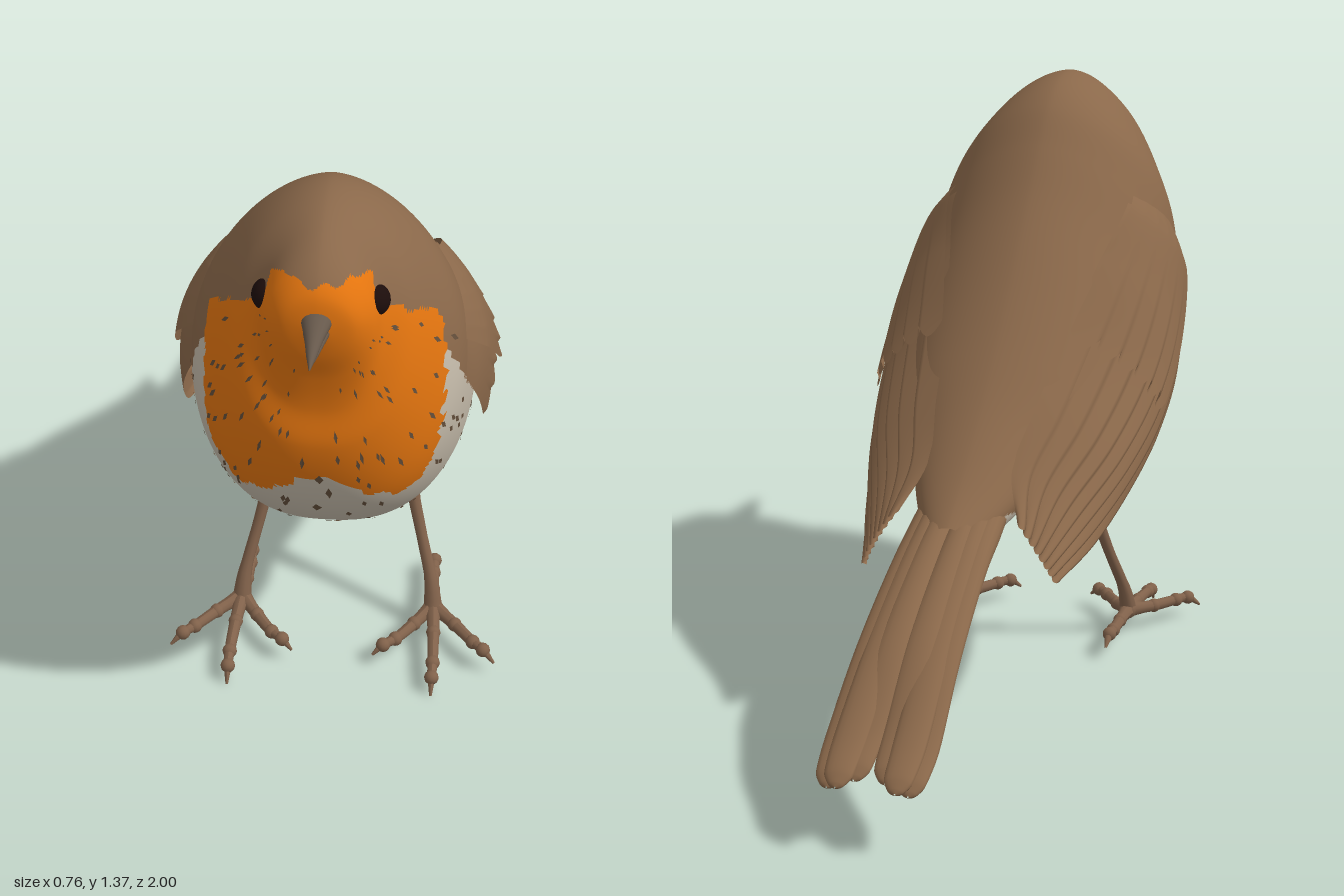
import * as THREE from 'three';
import { mergeGeometries } from 'three/addons/utils/BufferGeometryUtils.js';

const mat = (name, color, side = THREE.FrontSide) => {
  const m = new THREE.MeshStandardMaterial({ color, side });
  m.name = name;
  return m;
};
const V = (x, y, z) => new THREE.Vector3(x, y, z);
const spline = (pts) => new THREE.CatmullRomCurve3(pts.map((p) => V(...p)));

// Piecewise linear lookup in a list of [key, value] pairs with rising keys
function lookup(table, k) {
  if (k <= table[0][0]) return table[0][1];
  for (let i = 1; i < table.length; i++) {
    const [a, p] = table[i - 1], [b, q] = table[i];
    if (k <= b) return p + (q - p) * (k - a) / (b - a);
  }
  return table[table.length - 1][1];
}

// Surface over f(u, v); wrap joins v = 1 to v = 0; region sorts faces into material groups
function surface(f, nu, nv, wrap, region) {
  const pos = [], cols = wrap ? nv : nv + 1, lists = [[], [], []];
  for (let i = 0; i <= nu; i++)
    for (let j = 0; j < cols; j++) pos.push(...f(i / nu, j / nv).toArray());
  for (let i = 0; i < nu; i++)
    for (let j = 0; j < nv; j++) {
      const k = (j + 1) % cols;
      const a = i * cols + j, b = i * cols + k, c = a + cols, d = b + cols;
      for (const t of [[a, b, c], [b, d, c]]) {
        const mid = (n) => (pos[t[0] * 3 + n] + pos[t[1] * 3 + n] + pos[t[2] * 3 + n]) / 3;
        lists[region ? region(mid(0), mid(1), mid(2)) : 0].push(...t);
      }
    }
  const g = new THREE.BufferGeometry();
  g.setAttribute('position', new THREE.Float32BufferAttribute(pos, 3));
  g.setIndex(lists.flat());
  if (region) {
    let start = 0;
    lists.forEach((l, n) => { g.addGroup(start, l.length, n); start += l.length; });
  }
  g.computeVertexNormals();
  return g;
}

// Elliptical loft running towards -z; stations are [x, y, z, rx, ry]
function loft(st, nu = 24, nv = 16) {
  const centre = spline(st.map((s) => s.slice(0, 3)));
  const size = spline(st.map((s) => [s[3], s[4], 0]));
  return surface((u, v) => {
    const c = centre.getPoint(u), r = size.getPoint(u), a = v * Math.PI * 2;
    return V(c.x + Math.max(r.x, 0.001) * Math.sin(a), c.y + Math.max(r.y, 0.001) * Math.cos(a), c.z);
  }, nu, nv, true);
}

// Tube whose radius follows a list of values
function limb(pts, radii, n = 20) {
  const curve = spline(pts), g = new THREE.TubeGeometry(curve, n, 1, 10), p = g.attributes.position;
  const table = radii.map((r, i) => [i / (radii.length - 1), r]), q = V(0, 0, 0);
  for (let i = 0; i < p.count; i++) {
    const t = Math.floor(i / 11) / n, c = curve.getPointAt(t);
    q.fromBufferAttribute(p, i).sub(c).multiplyScalar(lookup(table, t)).add(c);
    p.setXYZ(i, q.x, q.y, q.z);
  }
  g.computeVertexNormals();
  return g;
}

// Body sections from face to rump: upper edge [half width, y, z] and lower edge
const upper = spline([[0.003, 1.217, 0.857], [0.075, 1.285, 0.835], [0.11, 1.325, 0.79], [0.135, 1.36, 0.71],
  [0.19, 1.375, 0.62], [0.24, 1.362, 0.53], [0.285, 1.32, 0.45], [0.305, 1.24, 0.37], [0.31, 1.14, 0.28],
  [0.305, 1.035, 0.18], [0.28, 0.93, 0.08], [0.235, 0.83, -0.02], [0.17, 0.72, -0.14], [0.11, 0.61, -0.28],
  [0.05, 0.53, -0.4]]);
const lower = spline([[0, 1.212, 0.858], [0, 1.14, 0.85], [0, 1.07, 0.835], [0, 0.98, 0.828], [0, 0.89, 0.84],
  [0, 0.77, 0.82], [0, 0.66, 0.77], [0, 0.555, 0.68], [0, 0.46, 0.55], [0, 0.415, 0.38], [0, 0.425, 0.2],
  [0, 0.47, 0.04], [0, 0.49, -0.1], [0, 0.47, -0.27], [0, 0.46, -0.4]]);
function bodyPoint(u, v, k = 1) {
  const t = upper.getPoint(u), b = lower.getPoint(u), c = Math.cos(v * Math.PI * 2), s = Math.sin(v * Math.PI * 2);
  const x = Math.sign(s) * Math.pow(Math.abs(s), c > 0 ? 1.15 : 0.8) * t.x * k;
  return V(x, (t.y + b.y) / 2 + (t.y - b.y) / 2 * c * k, (t.z + b.z) / 2 + (t.z - b.z) / 2 * c * k);
}

// Plumage borders: 0 orange bib, 1 brown back, 2 cream belly
const bibBack = [[0.7, 0.73], [0.8, 0.7], [0.9, 0.695], [1, 0.675], [1.08, 0.645], [1.12, 0.64], [1.17, 0.715],
  [1.21, 0.755], [1.25, 0.765], [1.28, 0.745], [1.31, 0.79]];
const bibBottom = [[0, 0.8], [0.05, 0.785], [0.1, 0.735], [0.17, 0.705], [0.22, 0.715], [0.27, 0.78]];
const backEdge = [[-0.4, 0.49], [-0.15, 0.56], [0, 0.54], [0.2, 0.6], [0.45, 0.75], [0.6, 0.9], [0.66, 1.03]];
function plumage(x, y, z) {
  const jag = 0.006 * Math.sin(x * 110) + 0.005 * Math.sin(y * 130 + z * 60);
  if (y < 1.302 + jag && z > lookup(bibBack, y) + jag && y > lookup(bibBottom, Math.abs(x)) + jag) return 0;
  return y > lookup(backEdge, z) + jag ? 1 : 2;
}

// Folded wing: three rails (upper edge, middle, lower edge) from shoulder to tip
const rails = [
  [[0.2, 1.14, 0.52], [0.215, 1.1, 0.38], [0.185, 1, 0.24], [0.145, 0.865, 0.08], [0.12, 0.73, -0.09], [0.1, 0.62, -0.22], [0.14, 0.53, -0.32]],
  [[0.26, 1.06, 0.58], [0.312, 0.98, 0.47], [0.327, 0.86, 0.33], [0.315, 0.73, 0.17], [0.28, 0.62, -0.02], [0.225, 0.53, -0.19], [0.19, 0.455, -0.32]],
  [[0.268, 0.97, 0.62], [0.318, 0.83, 0.56], [0.33, 0.68, 0.44], [0.322, 0.57, 0.24], [0.3, 0.49, 0.05], [0.265, 0.42, -0.15], [0.225, 0.385, -0.3]],
].map(spline);
function wingPoint(u, v, lift = 0) {
  const [a, m, b] = rails.map((r) => r.getPoint(u));
  const p = a.multiplyScalar((1 - v) * (1 - 2 * v)).addScaledVector(m, 4 * v * (1 - v)).addScaledVector(b, v * (2 * v - 1));
  const ridge = 0.012 * THREE.MathUtils.smoothstep(u, 0.2, 0.55) * ((v * 8) % 1) + lift;
  p.x += ridge;
  p.y += ridge * 0.5;
  p.z -= 0.02 * Math.abs(Math.sin(v * Math.PI * 8)) * Math.pow(u, 12);
  return p;
}

// Small dark feather tips lying on the plumage
function fleckGeometry(count) {
  let seed = 7;
  const rnd = () => (seed = (seed * 16807) % 2147483647) / 2147483647;
  const pos = [];
  for (let i = 0; i < count; i++) {
    const u = 0.13 + 0.55 * rnd(), v = 0.24 + 0.52 * rnd(), du = 0.007 + 0.006 * rnd(), dv = 0.003;
    const [a, b, c, d] = [[u - du, v], [u, v + dv], [u + du, v], [u, v - dv]].map((q) => bodyPoint(q[0], q[1], 1.009));
    for (const p of [a, b, c, a, c, d]) pos.push(p.x, p.y, p.z);
  }
  const g = new THREE.BufferGeometry();
  g.setAttribute('position', new THREE.Float32BufferAttribute(pos, 3));
  g.computeVertexNormals();
  return g;
}

export function createModel() {
  const brown = mat('brown plumage', 0x8a684a), orange = mat('orange bib', 0xe4750f), cream = mat('cream belly', 0xc6bcab);
  const wingBrown = mat('wing brown', 0x8a684a, THREE.DoubleSide), fleckMat = mat('dark feather tips', 0x65503c, THREE.DoubleSide);
  const eyeMat = mat('eye black', 0x1c0d0b), beakMat = mat('beak grey', 0x66584b), legMat = mat('leg brown', 0x80614a);
  const bird = new THREE.Group();
  bird.name = 'bird';
  const add = (parent, name, geo, material) => {
    const m = new THREE.Mesh(geo, material);
    m.name = name;
    parent.add(m);
    return m;
  };

  add(bird, 'body', surface(bodyPoint, 160, 160, true, plumage), [orange, brown, cream]);
  add(bird, 'featherFlecks', fleckGeometry(170), fleckMat);

  // Beak: upper and lower halves, tip to base
  add(bird, 'upperBeak', loft([[0, 1.222, 1, 0.001, 0.002], [0, 1.226, 0.96, 0.01, 0.01], [0, 1.227, 0.9, 0.02, 0.016], [0, 1.226, 0.83, 0.036, 0.026]]), beakMat);
  add(bird, 'lowerBeak', loft([[0, 1.217, 0.985, 0.001, 0.002], [0, 1.212, 0.94, 0.011, 0.008], [0, 1.206, 0.89, 0.02, 0.013], [0, 1.2, 0.83, 0.032, 0.018]]), beakMat);

  for (const side of [1, -1]) {
    const half = new THREE.Group();
    half.name = side > 0 ? 'leftSide' : 'rightSide';
    half.scale.x = side;
    bird.add(half);

    const eye = add(half, 'eye', new THREE.SphereGeometry(0.036, 24, 16), eyeMat);
    eye.position.set(0.107, 1.22, 0.752);

    // Wing with a shorter covert layer over it
    add(half, 'wing', surface(wingPoint, 60, 64, false), wingBrown);
    add(half, 'wingCoverts', surface((u, v) => {
      const end = 0.5 + 0.03 * Math.abs(Math.sin(v * Math.PI * 6));
      return wingPoint(u * end, v * 0.72, 0.012 * Math.min(1, u * 3));
    }, 36, 48, false), wingBrown);

    // Tail feathers, inner to outer: [x at root, x at end, end z, drop]
    const feathers = [[0.025, 0.035, -0.97, 0], [0.05, 0.066, -1, 0.007], [0.07, 0.09, -0.985, 0.016]];
    for (const [x0, x1, end, drop] of feathers) {
      const at = (t) => x0 + (x1 - x0) * t;
      add(half, 'tailFeather', loft([
        [at(0), 0.575 - drop, -0.18, 0.03, 0.03], [at(0.1), 0.525 - drop, -0.32, 0.034, 0.032],
        [at(0.25), 0.477 - drop, -0.46, 0.035, 0.025], [at(0.6), 0.355 - drop, -0.7, 0.038, 0.02],
        [x1, 0.222 - drop, end + 0.1, 0.038, 0.016], [x1, 0.178 - drop, end + 0.025, 0.032, 0.013],
        [x1, 0.163 - drop, end + 0.005, 0.016, 0.008], [x1, 0.16 - drop, end, 0.002, 0.002]], 40), brown);
    }

    // Leg, thigh tuft and foot
    const tuft = add(half, 'thighTuft', new THREE.SphereGeometry(1, 20, 14), cream);
    tuft.scale.set(0.04, 0.045, 0.05);
    tuft.position.set(0.145, 0.455, 0.27);
    add(half, 'leg', limb([[0.14, 0.47, 0.26], [0.155, 0.39, 0.29], [0.19, 0.24, 0.34], [0.22, 0.12, 0.39], [0.226, 0.06, 0.41]],
      [0.028, 0.022, 0.014, 0.013, 0.014, 0.022]), legMat);
    const foot = [0.226, 0.06, 0.405];
    const toes = [
      [foot, [0.232, 0.055, 0.49], [0.236, 0.045, 0.58], [0.236, 0.036, 0.62], [0.236, 0.004, 0.648]],
      [foot, [0.28, 0.056, 0.46], [0.325, 0.056, 0.515], [0.35, 0.056, 0.54], [0.377, 0.033, 0.558]],
      [foot, [0.185, 0.052, 0.46], [0.145, 0.052, 0.515], [0.118, 0.054, 0.54], [0.094, 0.034, 0.555]],
      [foot, [0.222, 0.055, 0.34], [0.22, 0.052, 0.28], [0.22, 0.056, 0.24], [0.22, 0.034, 0.2]]];
    const parts = [];
    for (const pts of toes) {
      parts.push(limb(pts, [0.02, 0.015, 0.014, 0.013, 0.011, 0.003]));
      for (const p of pts.slice(0, 4)) parts.push(new THREE.SphereGeometry(p === foot ? 0.023 : 0.017, 12, 8).translate(...p));
    }
    add(half, 'foot', mergeGeometries(parts), legMat);
  }
  return bird;
}
